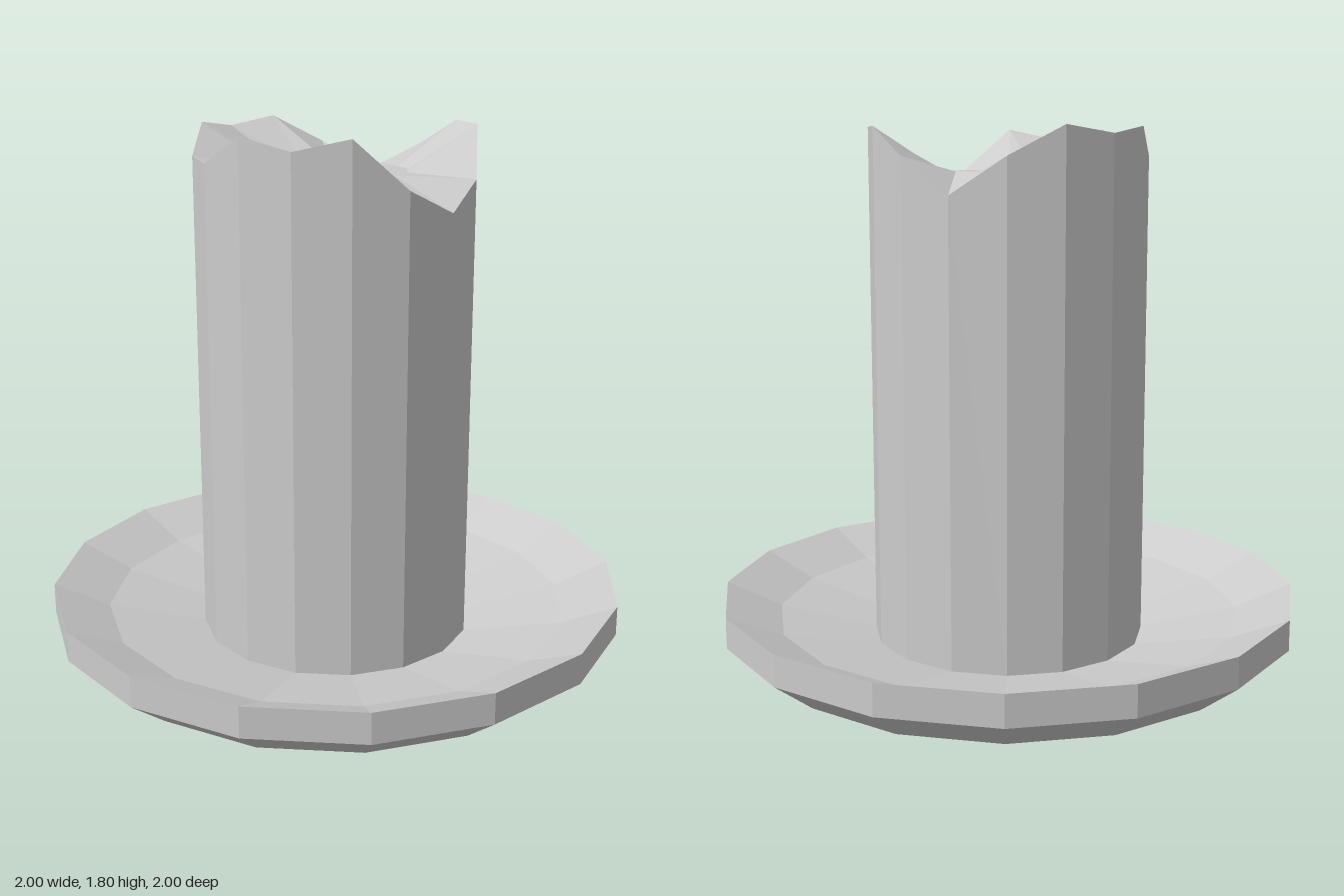
import * as THREE from 'three';

const SIDES = 16;

// Faceted turned part from [radius, height] pairs
function turned(name, profile) {
  const geometry = new THREE.LatheGeometry(profile.map(([r, y]) => new THREE.Vector2(r, y)), SIDES);
  const material = new THREE.MeshStandardMaterial({ color: 0xcccccc, flatShading: true });
  const mesh = new THREE.Mesh(geometry, material);
  mesh.name = name;
  return mesh;
}

export function createModel() {
  const group = new THREE.Group();
  group.name = 'candleOnDish';

  // Shallow dish with a bevelled underside and a hollow top
  group.add(turned('dish', [
    [0, 0], [0.86, 0], [1, 0.11], [1, 0.215], [0.81, 0.13], [0.47, 0.055], [0, 0.055],
  ]));

  // Candle with a flat melted pool inside the rim
  const profile = [[0.472, 0.05], [0.472, 1.7], [0.24, 1.66], [0, 1.66]];
  const candle = turned('candle', profile);

  // Uneven melted rim: one height per side, from the front round by the left
  const rim = [1.645, 1.56, 1.645, 1.805, 1.805, 1.71, 1.59, 1.71,
    1.805, 1.78, 1.805, 1.71, 1.705, 1.805, 1.765, 1.805];
  const position = candle.geometry.attributes.position;
  for (let i = 0; i <= SIDES; i++) {
    position.setY(i * profile.length + 1, rim[i % SIDES]);
  }
  candle.geometry.computeVertexNormals();
  group.add(candle);

  return group;
}
